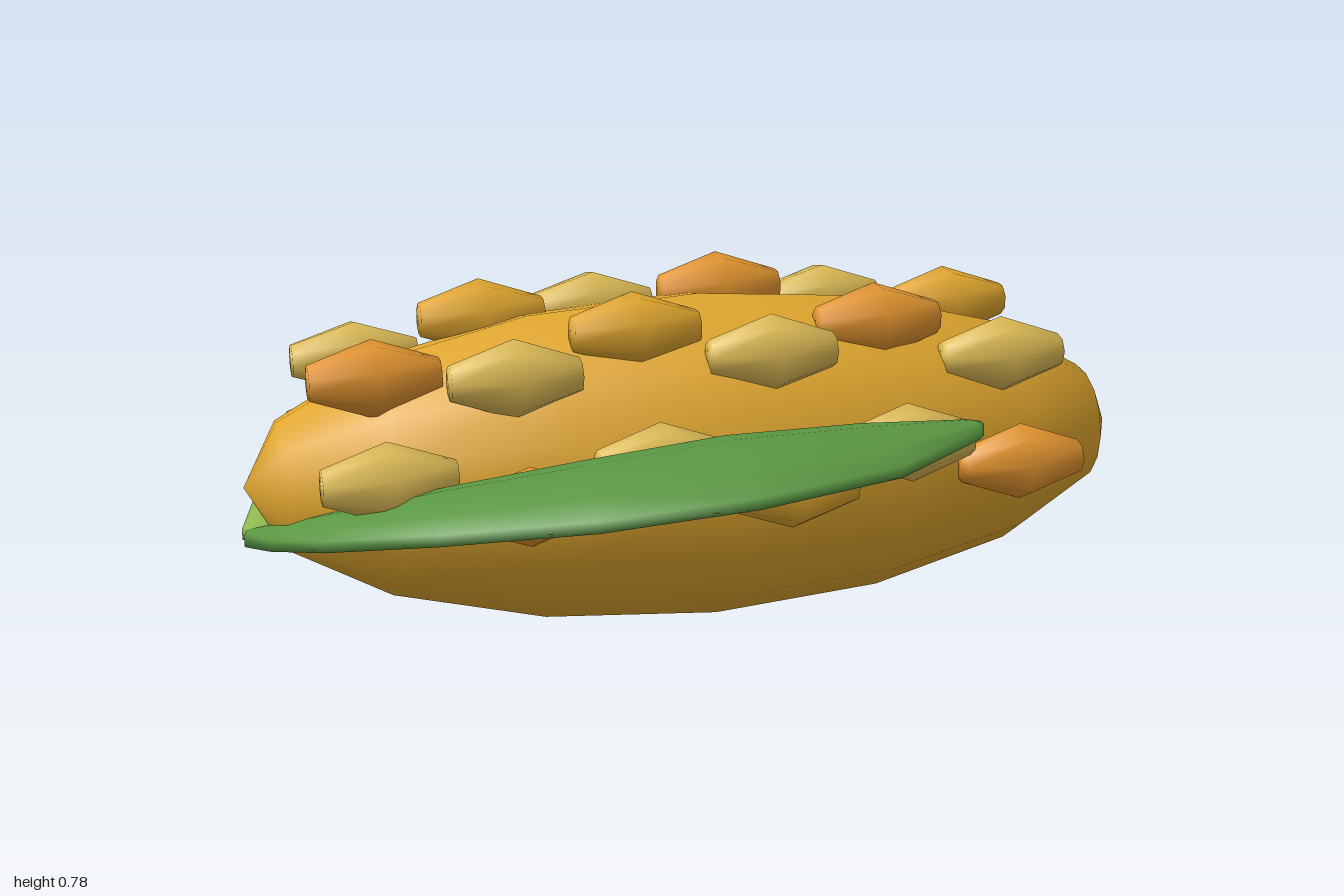
import * as THREE from 'three';

const paint = (name, color) => {
  const m = new THREE.MeshStandardMaterial({ color });
  m.name = name;
  return m;
};

export function createModel() {
  const model = new THREE.Group();
  const gold = paint('gold', 0xe0a62e);
  const pale = paint('paleYellow', 0xdcba55);
  const orange = paint('orange', 0xe2942f);
  const green = paint('leafGreen', 0x5a9642);
  const lime = paint('lightGreen', 0x8cb550);

  const add = (name, geometry, material, parent = model) => {
    const mesh = new THREE.Mesh(geometry, material);
    mesh.name = name;
    parent.add(mesh);
    return mesh;
  };

  // Cob: a coarse stretched sphere lying along x
  const cy = 0.36, cz = -0.03;
  const cob = add('cob', new THREE.SphereGeometry(1, 16, 8).rotateZ(Math.PI / 2), gold);
  cob.scale.set(0.995, 0.358, 0.373);
  cob.position.set(0, cy, cz);

  // Kernels: blunt-ended faceted beads in four staggered rows
  const kernelGeo = new THREE.LatheGeometry(
    [[0, -0.138], [0.037, -0.136], [0.083, 0], [0.037, 0.136], [0, 0.138]]
      .map(([r, y]) => new THREE.Vector2(r, y)), 8).rotateZ(Math.PI / 2);
  const P = pale, G = gold, O = orange;
  const rows = [
    { angles: [-80, -68], colors: [G, P, O, P, G, P] },
    { angles: [-33, -18], colors: [P, G, P, O, P, G] },
    { angles: [25, 40], colors: [O, P, G, P, O, P] },
    { angles: [75, 87], colors: [P, O, P, G, P, O] },
  ];
  const kernels = new THREE.Group();
  kernels.name = 'kernels';
  model.add(kernels);
  for (const { angles, colors } of rows) {
    colors.forEach((color, i) => {
      const x = -0.73 + i * 0.272;
      const a = THREE.MathUtils.degToRad(angles[i % 2]);
      const s = Math.sqrt(1 - (0.9 * x) ** 2);
      const k = add('kernel', kernelGeo, color, kernels);
      k.position.set(x, cy + 0.36 * s * Math.cos(a), cz + 0.4 * s * Math.sin(a));
      k.rotation.x = a;
    });
  }

  // Husk leaf: arched, slightly thick cross-sections.
  // Each station is [outer x, outer z, inner x, inner z, edge y, arch height].
  const husk = (stations, flip) => {
    const n = 6, ring = 2 * (n + 1), pos = [], idx = [];
    for (const [ox, oz, ix, iz, y, arch] of stations) {
      for (let j = 0; j < ring; j++) {
        const top = j <= n;
        const t = (top ? j : ring - 1 - j) / n;
        const lift = arch * Math.sin(Math.PI * t) + (top ? 0.012 : -0.012);
        pos.push(ox + (ix - ox) * t, y + lift, oz + (iz - oz) * t);
      }
    }
    const tri = (a, b, c) => (flip ? idx.push(a, c, b) : idx.push(a, b, c));
    for (let i = 0; i < stations.length - 1; i++) {
      for (let j = 0; j < ring; j++) {
        const a = i * ring + j, b = i * ring + (j + 1) % ring;
        tri(a, a + ring, b);
        tri(b, a + ring, b + ring);
      }
    }
    // End caps
    const last = (stations.length - 1) * ring;
    for (let j = 0; j < n; j++) {
      const k = ring - 1 - j;
      tri(j, j + 1, k); tri(j + 1, k - 1, k);
      tri(last + j, last + k, last + j + 1); tri(last + j + 1, last + k, last + k - 1);
    }
    const g = new THREE.BufferGeometry();
    g.setAttribute('position', new THREE.Float32BufferAttribute(pos, 3));
    g.setIndex(idx);
    g.computeVertexNormals();
    return g;
  };

  add('frontHusk', husk([
    [-1.0, -0.02, -0.98, -0.07, 0.245, 0.005],
    [-0.96, 0.12, -0.9, 0.0, 0.275, 0.015],
    [-0.87, 0.3, -0.78, 0.12, 0.32, 0.03],
    [-0.68, 0.51, -0.6, 0.23, 0.38, 0.045],
    [-0.4, 0.67, -0.36, 0.29, 0.43, 0.055],
    [-0.1, 0.72, -0.08, 0.32, 0.465, 0.06],
    [0.21, 0.66, 0.2, 0.35, 0.485, 0.04],
    [0.455, 0.475, 0.44, 0.41, 0.495, 0.01],
    [0.472, 0.455, 0.468, 0.425, 0.497, 0.003],
  ], false), green);

  add('backHusk', husk([
    [-1.0, -0.07, -0.98, -0.02, 0.245, 0.005],
    [-0.96, -0.22, -0.9, -0.08, 0.265, 0.015],
    [-0.87, -0.37, -0.78, -0.2, 0.29, 0.025],
    [-0.71, -0.51, -0.62, -0.3, 0.32, 0.04],
    [-0.49, -0.66, -0.42, -0.37, 0.36, 0.055],
    [-0.24, -0.73, -0.2, -0.41, 0.4, 0.06],
    [0.01, -0.715, 0.0, -0.45, 0.435, 0.05],
    [0.24, -0.605, 0.21, -0.52, 0.475, 0.015],
    [0.255, -0.59, 0.25, -0.555, 0.48, 0.004],
  ], true), lime);

  // Small stem knot where the husks meet
  const knot = add('stemKnot', new THREE.SphereGeometry(0.03, 8, 6), green);
  knot.scale.set(0.9, 0.6, 1.1);
  knot.position.set(-0.968, 0.245, -0.045);

  return model;
}
